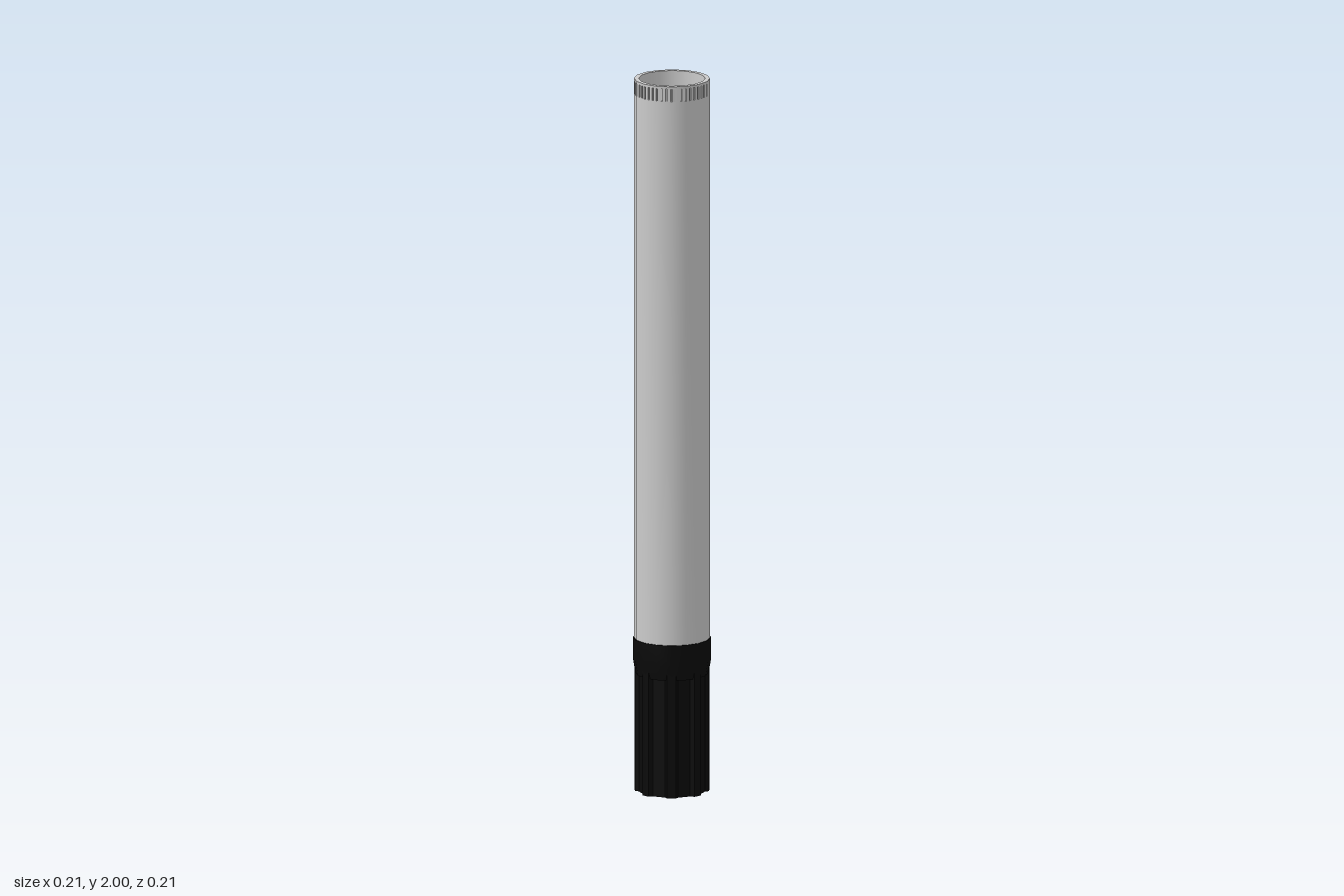
import * as THREE from 'three';
import { mergeVertices, toCreasedNormals } from 'three/addons/utils/BufferGeometryUtils.js';

const SIDES = 16;
const grey = new THREE.MeshStandardMaterial({ color: 0xcccccc });
const black = new THREE.MeshStandardMaterial({ color: 0x0a0a0a });

// Turned part from [radius, height] points, with crisp rims and smooth sides
function turned(name, points, material) {
  const lathe = new THREE.LatheGeometry(points.map(([r, y]) => new THREE.Vector2(r, y)), SIDES);
  lathe.deleteAttribute('normal');
  lathe.deleteAttribute('uv');
  const mesh = new THREE.Mesh(toCreasedNormals(mergeVertices(lathe), 0.5), material);
  mesh.name = name;
  return mesh;
}

// Ring of narrow bars separated by grooves, three to each flat of the tube
function grooveBars(radius, y0, y1) {
  const group = new THREE.Group();
  group.name = 'rimGrooves';
  const flat = 2 * radius * Math.sin(Math.PI / SIDES);
  const depth = 0.004;
  const bar = new THREE.BoxGeometry(flat / 3 * 0.65, y1 - y0, depth);
  for (let i = 0; i < SIDES; i++) {
    const side = new THREE.Group();
    side.rotation.y = (i + 0.5) * 2 * Math.PI / SIDES;
    for (let k = -1; k <= 1; k++) {
      const mesh = new THREE.Mesh(bar, grey);
      mesh.name = 'rimBar';
      mesh.position.set(k * flat / 3, (y0 + y1) / 2, radius * Math.cos(Math.PI / SIDES) - depth / 2);
      side.add(mesh);
    }
    group.add(side);
  }
  return group;
}

// Grip with eight shallow concave flutes running up its sides
function flutedGrip(height) {
  const flutes = 8, outer = 0.102, inner = 0.092;
  const shape = new THREE.Shape();
  const at = (r, a) => [r * Math.cos(a), r * Math.sin(a)];
  shape.moveTo(...at(outer, -0.12));
  for (let i = 0; i < flutes; i++) {
    const a = i * 2 * Math.PI / flutes, step = 2 * Math.PI / flutes;
    shape.lineTo(...at(outer, a));
    shape.lineTo(...at(outer, a + 0.12));
    shape.lineTo(...at(inner, a + 0.2));
    shape.lineTo(...at(inner - 0.001, a + step / 2));
    shape.lineTo(...at(inner, a + step - 0.2));
    if (i < flutes - 1) shape.lineTo(...at(outer, a + step - 0.12));
  }
  shape.closePath();
  const geometry = new THREE.ExtrudeGeometry(shape, { depth: height, bevelEnabled: false });
  geometry.rotateX(-Math.PI / 2);
  const mesh = new THREE.Mesh(toCreasedNormals(geometry, 0.3), black);
  mesh.name = 'flutedGrip';
  return mesh;
}

export function createModel() {
  const model = new THREE.Group();
  model.name = 'tubeWithGrip';

  // Hollow tube with a recessed band just under the lip
  model.add(turned('tube', [
    [0, 0.4], [0.104, 0.4], [0.104, 1.958], [0.1, 1.958], [0.1, 1.993],
    [0.104, 1.993], [0.104, 2], [0.091, 2], [0.091, 0.45], [0, 0.45],
  ], grey));
  model.add(grooveBars(0.104, 1.958, 1.993));

  // Collar that holds the tube, then the grip below it
  model.add(turned('collar', [
    [0, 0.33], [0.1, 0.33], [0.107, 0.37], [0.107, 0.43], [0.1, 0.43],
  ], black));
  model.add(flutedGrip(0.36));
  return model;
}
